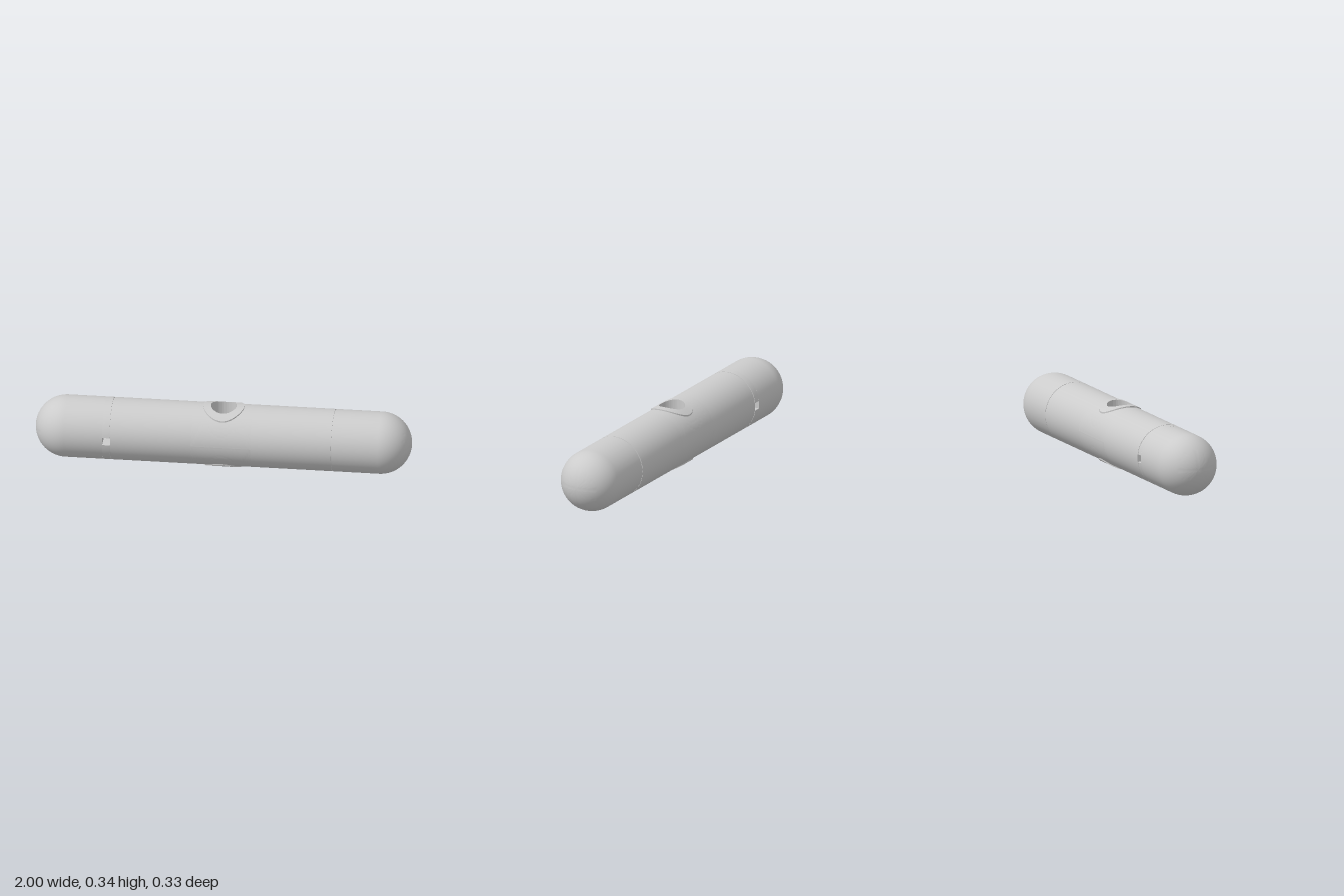
import * as THREE from 'three';
import { toCreasedNormals } from 'three/addons/utils/BufferGeometryUtils.js';

const R = 0.165;          // tube radius
const COLLAR_R = 0.171;   // raised collar follows a slightly larger tube
const HOLE = 0.07, COLLAR = 0.11;
const SEAM_IN = 0.587, SEAM_OUT = 0.591, GROOVE_R = 0.16;
const PATCH = 0.16;       // half length of the drilled middle section
const SLOT_X = 0.63, SLOT_H = 0.021;

const material = new THREE.MeshStandardMaterial({ color: 0xcccccc, side: THREE.DoubleSide });

function addMesh(parent, name, geometry) {
  const mesh = new THREE.Mesh(toCreasedNormals(geometry, 0.5), material);
  mesh.name = name;
  parent.add(mesh);
  return mesh;
}

// Turned part lying along x; side = 1 points to +x, -1 to -x
function turned(points, side, start = 0, length = Math.PI * 2) {
  const segments = Math.round(64 * length / (Math.PI * 2));
  const profile = points.map(([r, d]) => new THREE.Vector2(r, d));
  return new THREE.LatheGeometry(profile, segments, start, length).rotateZ(-side * Math.PI / 2);
}

// Upper half of the drilled section: bore, collar, then a skin spreading to a rectangle
function drilledHalf() {
  const perSide = 32, n = perSide * 4;
  const onTube = (x, angle, r) => [x, r * Math.cos(angle), r * Math.sin(angle)];
  const ring = (a, hole, r) => onTube(hole * Math.cos(a), Math.asin(hole * Math.sin(a) / r), r);
  const rows = [
    a => [HOLE * Math.cos(a), 0, HOLE * Math.sin(a)],
    a => ring(a, HOLE, COLLAR_R),
    a => ring(a, (HOLE + COLLAR) / 2, COLLAR_R),
    a => ring(a, COLLAR, COLLAR_R),
    a => ring(a, COLLAR, R),
  ];
  const steps = 16;
  for (let j = 1; j <= steps; j++) {
    rows.push((a, i) => {
      const k = Math.floor(i / perSide) % 4, s = 2 * (i % perSide) / perSide - 1;
      const [ex, ea] = [[1, s], [-s, 1], [-1, -s], [s, -1]][k];
      const t = j / steps;
      const x = THREE.MathUtils.lerp(COLLAR * Math.cos(a), ex * PATCH, t);
      const angle = THREE.MathUtils.lerp(Math.asin(COLLAR * Math.sin(a) / R), ea * Math.PI / 2, t);
      return onTube(x, angle, R);
    });
  }
  const positions = [], index = [];
  rows.forEach((row, j) => {
    for (let i = 0; i < n; i++) {
      positions.push(...row(-Math.PI / 4 + i / n * Math.PI * 2, i));
      if (j === rows.length - 1) continue;
      const p = j * n + i, q = j * n + (i + 1) % n;
      index.push(p, q, p + n, q, q + n, p + n);
    }
  });
  const geometry = new THREE.BufferGeometry();
  geometry.setAttribute('position', new THREE.Float32BufferAttribute(positions, 3));
  geometry.setIndex(index);
  return geometry;
}

export function createModel() {
  const model = new THREE.Group();
  model.name = 'capsule';
  model.position.y = COLLAR_R;

  // Middle section with the vertical bore and its two collars
  addMesh(model, 'drilledSectionTop', drilledHalf());
  addMesh(model, 'drilledSectionBottom', drilledHalf().rotateX(Math.PI));

  // Dome profile shared by both ends
  const dome = [];
  for (let i = 0; i <= 20; i++) {
    const a = i / 20 * Math.PI / 2;
    dome.push([R * Math.cos(a), 1 - R + R * Math.sin(a)]);
  }
  dome[20][0] = 0;

  for (const side of [1, -1]) {
    const name = side > 0 ? 'left' : 'right';
    addMesh(model, name + 'Barrel', turned(
      [[R, PATCH], [R, SEAM_IN], [GROOVE_R, SEAM_IN]], side));
    if (side > 0) {
      addMesh(model, 'leftCap', turned(
        [[GROOVE_R, SEAM_IN], [GROOVE_R, SEAM_OUT], [R, SEAM_OUT], ...dome], side));
    } else {
      // This cap is notched front and back by a slot running through it
      addMesh(model, 'rightCap', turned([[R, SLOT_X], ...dome], side));
      const half = Math.asin(SLOT_H / R);
      for (const start of [half, Math.PI + half]) {
        addMesh(model, 'slottedRim', turned(
          [[GROOVE_R, SEAM_IN], [GROOVE_R, SEAM_OUT], [R, SEAM_OUT], [R, SLOT_X]],
          side, start, Math.PI - 2 * half));
      }
    }
  }

  // Four walls of the through slot
  const depth = 2 * Math.sqrt(R * R - SLOT_H * SLOT_H);
  const width = SLOT_X - SEAM_IN, mid = -(SLOT_X + SEAM_IN) / 2;
  for (const s of [1, -1]) {
    const flat = new THREE.PlaneGeometry(width, depth).rotateX(s * Math.PI / 2);
    addMesh(model, 'slotWall', flat.translate(mid, s * SLOT_H, 0));
    const upright = new THREE.PlaneGeometry(depth, 2 * SLOT_H).rotateY(-s * Math.PI / 2);
    addMesh(model, 'slotWall', upright.translate(mid + s * width / 2, 0, 0));
  }

  const root = new THREE.Group();
  root.add(model);
  return root;
}
